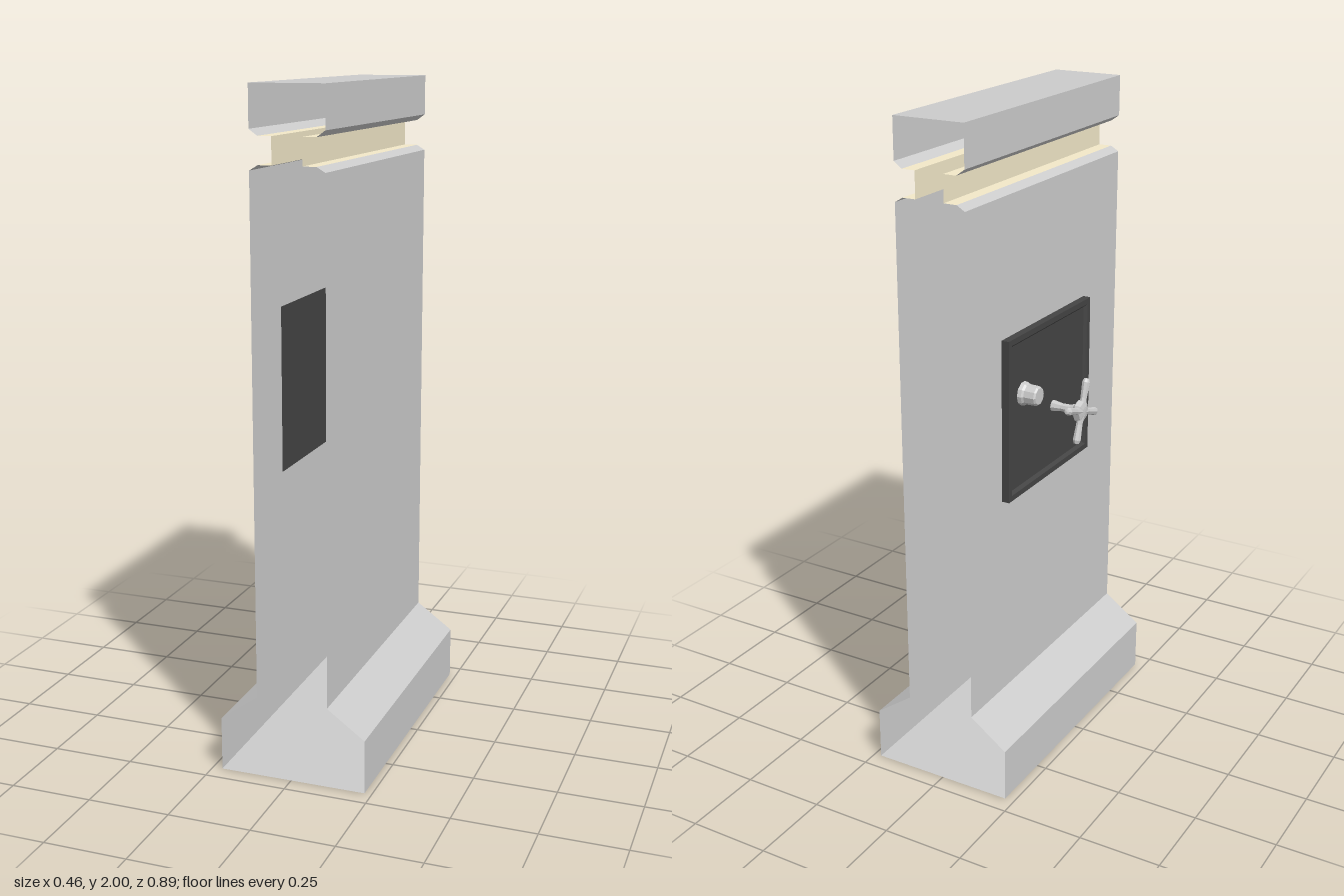
import * as THREE from 'three';

const CX = 0.004;      // centre line of the wall section
const HALF_Z = 0.446;  // half length of the wall

const paint = (color) => new THREE.MeshStandardMaterial({ color, flatShading: true, side: THREE.DoubleSide });

// Open strip: sweeps a polyline of [x, y] points along z
function strip(points, material, name) {
  const pos = [];
  for (let i = 0; i < points.length - 1; i++) {
    const [x0, y0] = points[i], [x1, y1] = points[i + 1];
    const a = [x0, y0, HALF_Z], b = [x0, y0, -HALF_Z], c = [x1, y1, -HALF_Z], d = [x1, y1, HALF_Z];
    pos.push(...a, ...b, ...c, ...a, ...c, ...d);
  }
  const geo = new THREE.BufferGeometry();
  geo.setAttribute('position', new THREE.Float32BufferAttribute(pos, 3));
  geo.computeVertexNormals();
  const mesh = new THREE.Mesh(geo, material);
  mesh.name = name;
  return mesh;
}

// Turned part from [radius, height] points
function turned(points, sides, material, name, phi = 0) {
  const geo = new THREE.LatheGeometry(points.map(([r, h]) => new THREE.Vector2(r, h)), sides, phi);
  const mesh = new THREE.Mesh(geo, material);
  mesh.name = name;
  return mesh;
}

export function createModel() {
  const model = new THREE.Group();
  const grey = paint(0xcccccc);
  const cream = paint(0xf2e8c8);
  const dark = paint(0x444444);

  // Hollow wall, open at both ends; each side mirrors the other
  const wall = new THREE.Group();
  wall.name = 'wall';
  for (const [side, label] of [[1, 'left'], [-1, 'right']]) {
    const at = (pts) => pts.map(([x, y]) => [CX + side * x, y]);
    wall.add(
      strip(at([[0.224, 0], [0.224, 0.163], [0.109, 0.246], [0.109, 1.77], [0.084, 1.785]]), grey, label + 'WallAndPlinth'),
      strip(at([[0.084, 1.785], [0.044, 1.785], [0.044, 1.862], [0.084, 1.862]]), cream, label + 'LightGroove'),
      strip(at([[0.084, 1.862], [0.109, 1.88], [0.109, 2]]), grey, label + 'Coping'));
  }
  wall.add(
    strip([[CX - 0.109, 2], [CX + 0.109, 2]], grey, 'copingTop'),
    strip([[CX - 0.224, 0], [CX + 0.224, 0]], grey, 'plinthFloor'));
  model.add(wall);

  // Square safe door with a raised rim
  const R = 0.246 * Math.SQRT2;
  const door = turned([[0, 0], [R, 0], [R, 0.025], [R - 0.024, 0.025], [R - 0.036, 0.016], [0, 0.016]],
    4, dark, 'safeDoor', Math.PI / 4);
  door.rotation.z = Math.PI / 2;
  door.position.set(-0.1035, 1.12, -0.016);
  model.add(door);

  // Dial knob
  const knob = turned([[0.036, 0], [0.034, 0.012], [0.03, 0.018], [0.029, 0.05], [0.025, 0.055], [0, 0.055]],
    10, grey, 'dialKnob');
  knob.rotation.z = Math.PI / 2;
  knob.position.set(-0.119, 1.182, -0.166);
  model.add(knob);

  // Four-spoke handle on a flared shaft
  const handle = new THREE.Group();
  handle.name = 'spokeHandle';
  const shaft = turned([[0.018, 0], [0.013, 0.03], [0.014, 0.06], [0.019, 0.075], [0.034, 0.086], [0.03, 0.103], [0.014, 0.107], [0, 0.108]],
    8, grey, 'handleShaft');
  shaft.rotation.z = Math.PI / 2;
  handle.add(shaft);
  for (let i = 0; i < 4; i++) {
    const spoke = turned([[0.012, 0.01], [0.01, 0.04], [0.0125, 0.088], [0.008, 0.098], [0, 0.1]], 8, grey, 'spoke' + (i + 1));
    spoke.position.x = -0.096;
    spoke.rotation.x = Math.PI * (0.1 + i / 2);
    handle.add(spoke);
  }
  handle.position.set(-0.12, 1.084, 0.015);
  model.add(handle);

  return model;
}
